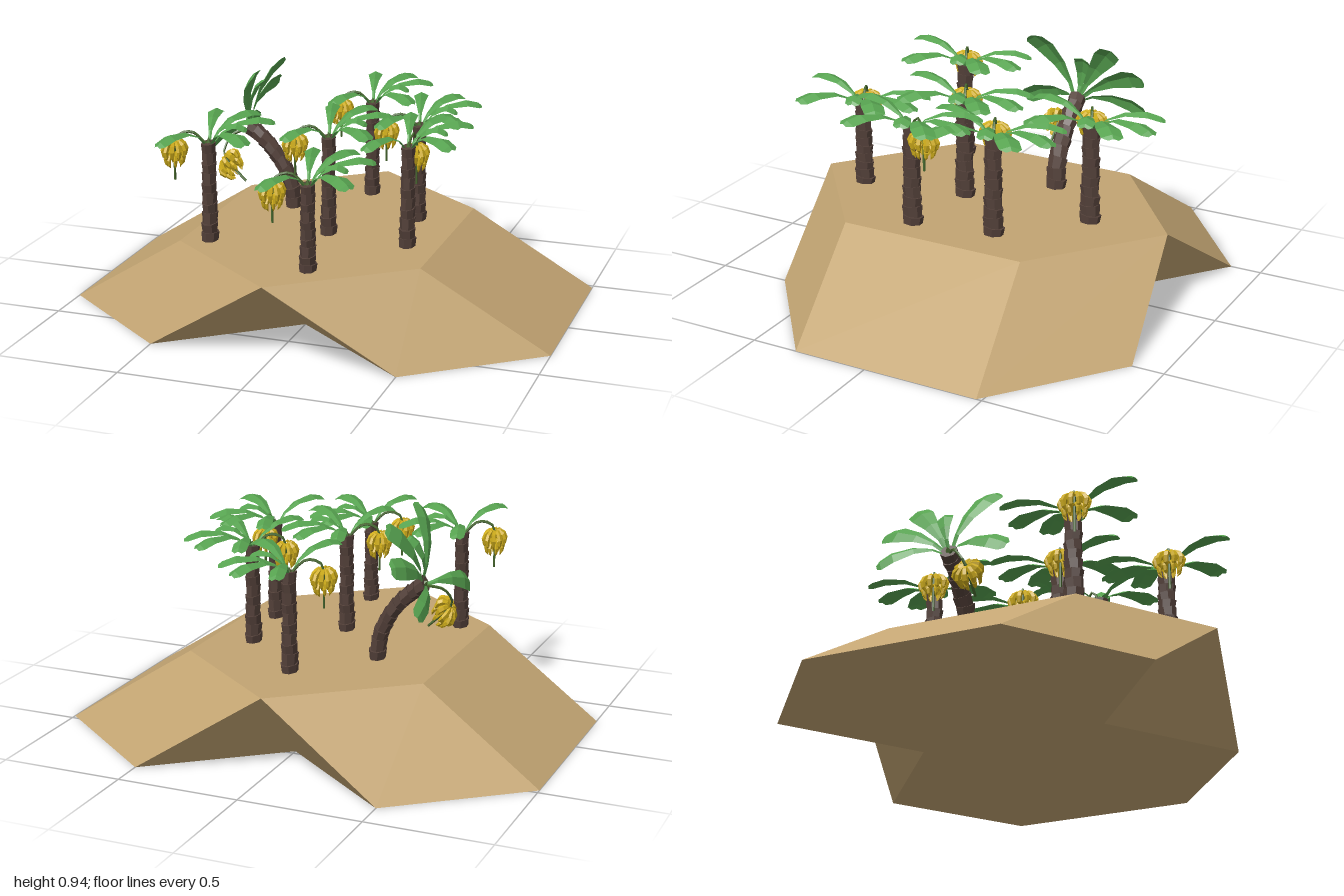
import * as THREE from 'three';
import { mergeGeometries } from 'three/addons/utils/BufferGeometryUtils.js';

const V = (x, y, z) => new THREE.Vector3(x, y, z);
const SQUASH = 0.74; // the whole island is narrower in x
const TOP = 0.325;

const mat = (name, color, extra = {}) => {
  const m = new THREE.MeshStandardMaterial({ color, flatShading: true, ...extra });
  m.name = name;
  return m;
};

const mesh = (name, geometry, material) => {
  const m = new THREE.Mesh(geometry, material);
  m.name = name;
  return m;
};

// Slanted hexagonal block: its foot is shifted sideways and back from its top
function slantedBlock(side) {
  const g = new THREE.CylinderGeometry(0.785, 0.785, TOP, 6).toNonIndexed();
  g.scale(0.5 / (0.785 * Math.sin(Math.PI / 3)), 1, 1).translate(0, TOP / 2, 0);
  const p = g.attributes.position;
  for (let i = 0; i < p.count; i++) {
    const low = 1 - p.getY(i) / TOP;
    p.setX(i, p.getX(i) + side * 0.5 * low);
    p.setZ(i, p.getZ(i) - 0.085 * low);
  }
  g.computeVertexNormals();
  return g;
}

// Trunk of stacked flared collars that follow a curve
function trunkGeometry(curve, collars = 10) {
  const parts = [];
  for (let i = 0; i < collars; i++) {
    const a = curve.getPointAt(i / collars), b = curve.getPointAt((i + 1) / collars);
    const r = 0.035 + 0.008 * Math.pow(1 - i / collars, 3);
    const dir = b.clone().sub(a);
    const g = new THREE.CylinderGeometry(r * 1.1, r * 0.95, dir.length() * 1.2, 7);
    g.rotateY(i * 0.7);
    g.rotateX(i % 2 ? 0.08 : -0.08);
    g.applyQuaternion(new THREE.Quaternion().setFromUnitVectors(V(0, 1, 0), dir.normalize()));
    g.translate((a.x + b.x) / 2, (a.y + b.y) / 2, (a.z + b.z) / 2);
    parts.push(g);
  }
  return mergeGeometries(parts);
}

// Arched, folded leaf: each row is distance, height, half width
const LEAF_ROWS = [[0, -0.02, 0.008], [0.2, 0.04, 0.012], [0.45, 0.075, 0.032],
  [0.75, 0.085, 0.05], [0.94, 0.07, 0.046], [1, 0.058, 0.022]];
function leafGeometry(dx, dz, width = 1) {
  const reach = Math.hypot(dx, dz), pos = [], index = [];
  LEAF_ROWS.forEach(([d, y, w], i) => {
    for (const s of [-1, 0, 1]) {
      pos.push(d * reach, y - Math.abs(s) * w * 0.3, s * w * width);
    }
    if (i) for (const k of [0, 1]) {
      const a = (i - 1) * 3 + k;
      index.push(a, a + 1, a + 3, a + 1, a + 4, a + 3);
    }
  });
  const g = new THREE.BufferGeometry();
  g.setAttribute('position', new THREE.Float32BufferAttribute(pos, 3));
  g.setIndex(index);
  g.computeVertexNormals();
  return g.rotateY(Math.atan2(-dz, dx));
}

// Curved fruit in two rings, closing into a rounded bunch
function bunchGeometry() {
  const parts = [];
  for (const [count, size, y] of [[10, 1, 0.01], [8, 0.8, -0.025]]) {
    const curve = new THREE.CatmullRomCurve3([V(0.008, 0.035, 0), V(0.04, 0.03, 0),
      V(0.058, 0, 0), V(0.042, -0.036, 0)]);
    for (let i = 0; i < count; i++) {
      const g = new THREE.TubeGeometry(curve, 5, 0.013, 5);
      const p = g.attributes.position;
      // taper both ends
      for (let k = 0; k < p.count; k++) {
        const ring = Math.floor(k / 6), c = curve.getPointAt(ring / 5);
        const f = [0.4, 0.9, 1, 1, 0.8, 0.15][ring];
        p.setXYZ(k, c.x + (p.getX(k) - c.x) * f, c.y + (p.getY(k) - c.y) * f, p.getZ(k) * f);
      }
      g.scale(size, size, size).rotateY((i + size) / count * Math.PI * 2).translate(0, y, 0);
      parts.push(g);
    }
  }
  return mergeGeometries(parts);
}

export function createModel() {
  const sand = mat('sand', 0xc2a472);
  const bark = mat('bark', 0x54413a);
  const green = mat('leaf green', 0x57a350, { side: THREE.DoubleSide });
  const yellow = mat('fruit yellow', 0xd0ae1c);
  const stem = mat('stem green', 0x47682f);

  const model = new THREE.Group();
  model.name = 'palmIsland';

  // Two blocks share one top and leave notches at front and back
  const island = new THREE.Group();
  island.name = 'island';
  for (const s of [-1, 1]) {
    island.add(mesh(s > 0 ? 'leftBlock' : 'rightBlock', slantedBlock(s), sand));
  }
  model.add(island);

  const grove = new THREE.Group();
  grove.name = 'grove';
  grove.scale.x = SQUASH;
  model.add(grove);

  const leaves = mergeGeometries([[-0.1, -0.28, 0.8], [0.13, -0.3, 1], [0.28, -0.19, 1],
    [0.2, -0.04, 0.7], [0.3, 0.17, 1], [-0.12, 0.29, 0.9]].map(l => leafGeometry(...l)));
  const fruit = bunchGeometry();

  // Crown with leaves, hanging stalk and fruit; origin at the trunk top
  function crown(hang) {
    const g = new THREE.Group();
    g.name = 'crown';
    const bunch = mesh('fruitBunch', fruit, yellow);
    bunch.position.copy(hang);
    const stalk = new THREE.CatmullRomCurve3([V(0, -0.01, 0),
      V(hang.x * 0.5, 0.05, hang.z * 0.5), V(hang.x * 0.95, hang.y + 0.065, hang.z * 0.95),
      hang, V(hang.x, hang.y - 0.11, hang.z)]);
    g.add(mesh('leaves', leaves, green), bunch,
      mesh('fruitStalk', new THREE.TubeGeometry(stalk, 12, 0.006, 5), stem),
      mesh('crownHeart', new THREE.ConeGeometry(0.03, 0.05, 6), stem));
    return g;
  }

  function tree(path, tilt, hang) {
    const g = new THREE.Group();
    g.name = 'palmTree';
    const curve = new THREE.CatmullRomCurve3(path);
    const head = crown(hang);
    head.position.copy(path[path.length - 1]);
    head.rotation.z = tilt;
    g.add(mesh('trunk', trunkGeometry(curve), bark), head);
    grove.add(g);
  }

  // Upright trees: x, z, height of the trunk top
  const side = V(-0.165, -0.035, 0.055);
  for (const [x, z, y, hang = side] of [[0.03, -0.46, 0.725], [0.32, -0.18, 0.725],
    [0.03, 0.11, 0.725], [0.375, 0.155, 0.73, V(0.02, -0.055, -0.065)],
    [0.1, 0.55, 0.665], [-0.39, 0.34, 0.725]]) {
    tree([V(x / SQUASH, TOP - 0.01, z), V(x / SQUASH, y, z)], 0, hang);
  }

  // Leaning tree
  tree([[-0.225, TOP - 0.01], [-0.235, 0.42], [-0.29, 0.53], [-0.35, 0.6], [-0.42, 0.655]]
    .map(([x, y]) => V(x / SQUASH, y, -0.18)), 0.95, V(-0.15, -0.035, 0.11));

  return model;
}
